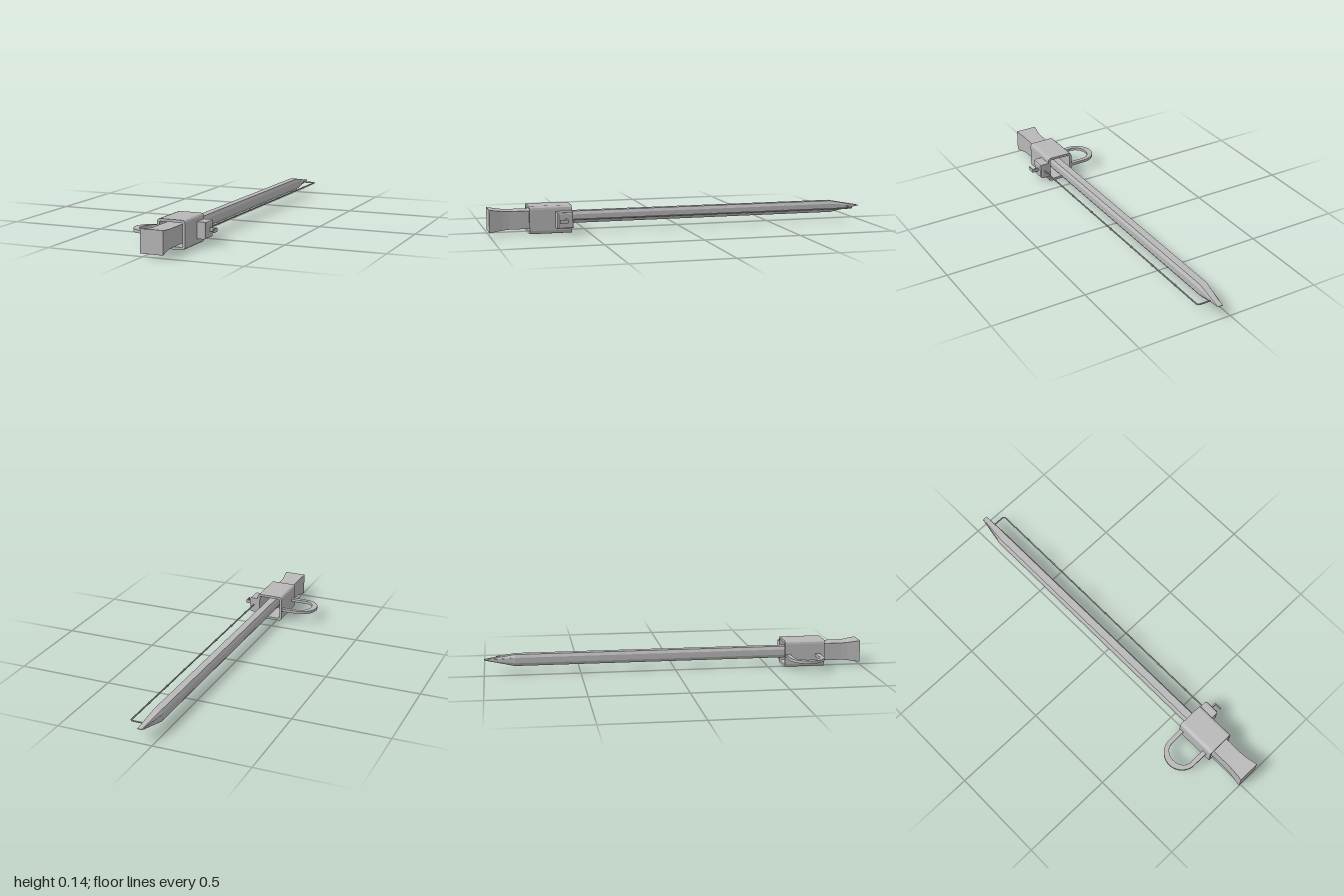
import * as THREE from 'three';

const CX = 0.045, CY = 0.072; // long axis of the tool

// Rectangle with cut corners, counter-clockwise seen from +z
function section(x0, x1, y0, y1, z, cx = 0, cy = cx) {
  if (!cx) return [[x0, y0, z], [x1, y0, z], [x1, y1, z], [x0, y1, z]];
  return [
    [x0 + cx, y0, z], [x1 - cx, y0, z], [x1, y0 + cy, z], [x1, y1 - cy, z],
    [x1 - cx, y1, z], [x0 + cx, y1, z], [x0, y1 - cy, z], [x0, y0 + cy, z],
  ];
}

// Flat-shaded solid through cross-sections ordered from -z to +z
function loft(sections) {
  const n = sections[0].length, last = sections.length - 1, pos = [];
  const tri = (a, b, c) => pos.push(...a, ...b, ...c);
  for (let i = 0; i < last; i++) {
    for (let k = 0; k < n; k++) {
      const a = sections[i][k], b = sections[i][(k + 1) % n];
      const c = sections[i + 1][(k + 1) % n], d = sections[i + 1][k];
      tri(a, b, c);
      tri(a, c, d);
    }
  }
  for (let k = 1; k < n - 1; k++) {
    tri(sections[0][0], sections[0][k + 1], sections[0][k]);
    tri(sections[last][0], sections[last][k], sections[last][k + 1]);
  }
  const g = new THREE.BufferGeometry();
  g.setAttribute('position', new THREE.Float32BufferAttribute(pos, 3));
  g.computeVertexNormals();
  return g;
}

function outline(target, hw, hh, r) {
  target.moveTo(-hw + r, -hh);
  target.lineTo(hw - r, -hh);
  target.quadraticCurveTo(hw, -hh, hw, -hh + r);
  target.lineTo(hw, hh - r);
  target.quadraticCurveTo(hw, hh, hw - r, hh);
  target.lineTo(-hw + r, hh);
  target.quadraticCurveTo(-hw, hh, -hw, hh - r);
  target.lineTo(-hw, -hh + r);
  target.quadraticCurveTo(-hw, -hh, -hw + r, -hh);
  return target;
}

export function createModel() {
  const model = new THREE.Group();
  model.name = 'chisel';
  const steel = new THREE.MeshStandardMaterial({ color: 0xb8b8b8, flatShading: true });
  steel.name = 'grey steel';
  const add = (name, geometry, x = 0, y = 0, z = 0) => {
    const mesh = new THREE.Mesh(geometry, steel);
    mesh.name = name;
    mesh.position.set(x, y, z);
    model.add(mesh);
    return mesh;
  };

  // Long bevelled bar, tapering to a wedge on one side
  add('blade', loft([
    section(0.045, 0.073, 0.073, 0.076, -1, 0.004, 0.001),
    section(0.018, 0.074, 0.043, 0.104, -0.84, 0.009, 0.016),
    section(0.018, 0.074, 0.043, 0.104, 0.72, 0.009, 0.016),
  ]));

  // Square grip flaring toward its end
  const grip = [[0.7, 0.046], [0.9, 0.046], [0.93, 0.048], [0.965, 0.053], [1, 0.058]];
  add('grip', loft(grip.map(([z, h]) => section(CX - h, CX + h, CY - h, CY + h, z))));

  // Hollow sleeve around the grip and the bar
  const sleeve = outline(new THREE.Shape(), 0.073, 0.071, 0.018);
  sleeve.holes.push(outline(new THREE.Path(), 0.06, 0.058, 0.006));
  add('sleeve', new THREE.ExtrudeGeometry(sleeve, {
    depth: 0.215, bevelEnabled: false, curveSegments: 3,
  }), CX, 0.071, 0.585);

  // Finger loop on the right side
  const loop = new THREE.Shape();
  loop.moveTo(-0.02, 0.59);
  loop.lineTo(-0.112, 0.592);
  loop.absellipse(-0.112, 0.683, 0.091, 0.091, -Math.PI / 2, Math.PI / 2, true);
  loop.lineTo(-0.02, 0.774);
  loop.lineTo(-0.02, 0.75);
  loop.lineTo(-0.112, 0.75);
  loop.absellipse(-0.112, 0.683, 0.06, 0.069, Math.PI / 2, -Math.PI / 2, false);
  loop.lineTo(-0.02, 0.612);
  add('fingerLoop', new THREE.ExtrudeGeometry(loop, {
    depth: 0.015, bevelEnabled: false, curveSegments: 14,
  }), 0, 0.071, 0).rotation.x = Math.PI / 2;

  // Side block with a softened outer face
  const block = [[0.115, 0.0415], [0.155, 0.0415], [0.162, 0.039], [0.166, 0.033]];
  add('sideBlock', loft(block.map(([x, h]) => section(-h, h, -h, h, x))), 0, CY, 0.627)
    .rotation.y = Math.PI / 2;

  // Small bent lever
  add('leverStem', new THREE.BoxGeometry(0.04, 0.019, 0.008), 0.181, CY, 0.622);
  add('leverTab', new THREE.BoxGeometry(0.005, 0.019, 0.042), 0.1985, CY, 0.639);

  // Thin rod beside the bar, hooked back to the tip
  const rod = new THREE.CurvePath();
  const p = [[0.142, 0.6], [0.142, -0.92], [0.128, -0.935], [0.065, -0.935]]
    .map(([x, z]) => new THREE.Vector3(x, CY, z));
  rod.add(new THREE.LineCurve3(p[0], p[1]));
  rod.add(new THREE.QuadraticBezierCurve3(p[1], new THREE.Vector3(0.142, CY, -0.935), p[2]));
  rod.add(new THREE.LineCurve3(p[2], p[3]));
  add('rod', new THREE.TubeGeometry(rod, 200, 0.004, 8));

  // Collars along the rod
  for (let i = 0; i < 7; i++) {
    add('rodCollar', new THREE.CylinderGeometry(0.006, 0.006, 0.008, 8), 0.142, CY, 0.46 - i * 0.2)
      .rotation.x = Math.PI / 2;
  }
  return model;
}
